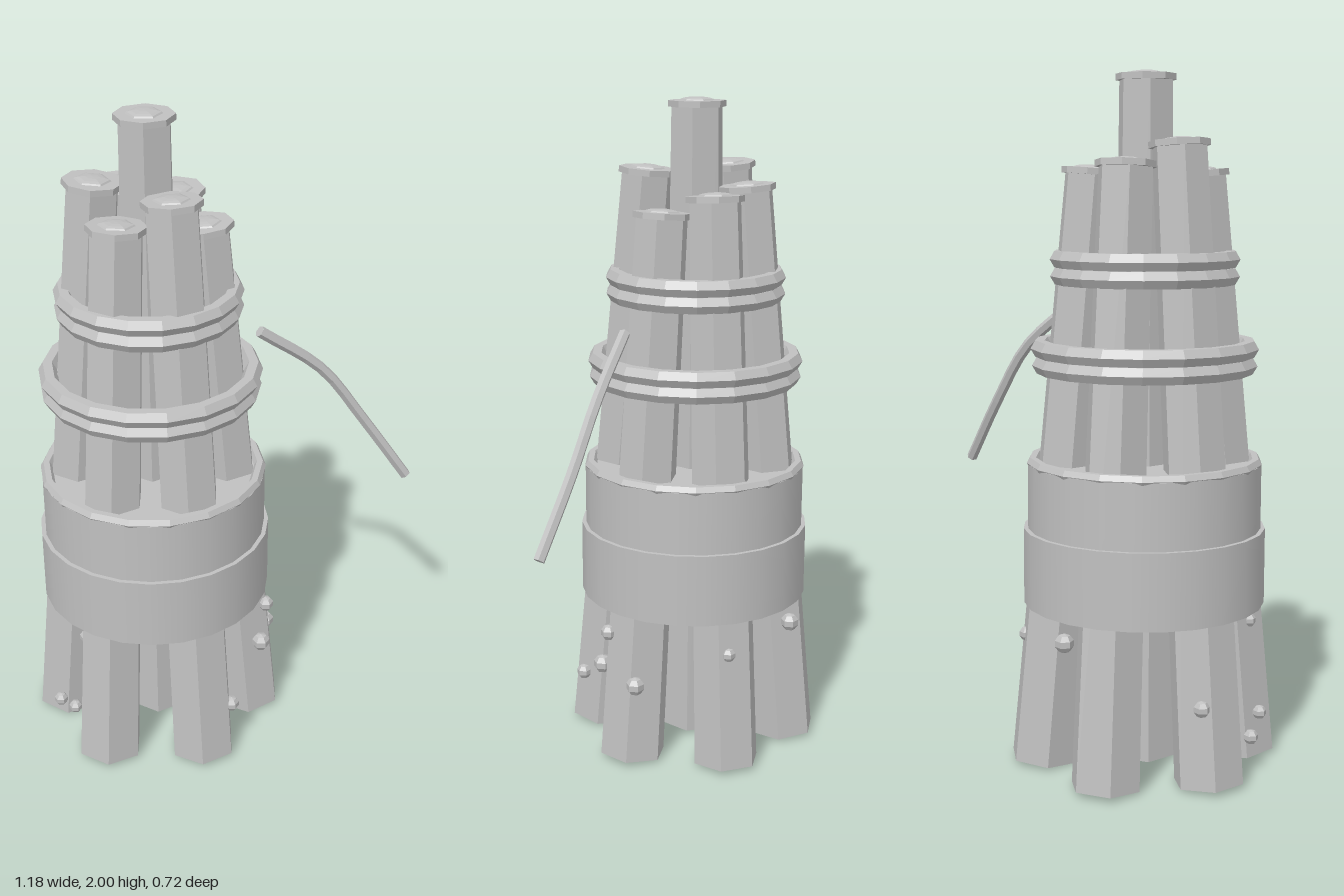
import * as THREE from 'three';

const AXIS_X = -0.207;

export function createModel() {
  const model = new THREE.Group();
  const grey = new THREE.MeshStandardMaterial({ color: 0xc0c0c0 });
  grey.name = 'plain grey';

  // Faceted parts keep one normal per face
  const add = (parent, name, geometry, x = 0, y = 0, z = 0, flat = true) => {
    let geo = geometry;
    if (flat) {
      geo = geometry.index ? geometry.toNonIndexed() : geometry;
      geo.computeVertexNormals();
    }
    const mesh = new THREE.Mesh(geo, grey);
    mesh.name = name;
    mesh.position.set(x, y, z);
    parent.add(mesh);
    return mesh;
  };

  const bundle = new THREE.Group();
  bundle.name = 'bundle';
  bundle.position.x = AXIS_X;
  model.add(bundle);

  // One tapered hexagonal stick with a lid and a low bump on top
  const stick = (name, angle, spread, top) => {
    const lean = spread ? 0.083 : 0;
    const g = new THREE.Group();
    g.name = name;
    g.position.set(Math.cos(angle) * spread, spread ? 0.009 : 0.012, Math.sin(angle) * spread);
    const dir = new THREE.Vector3(-Math.cos(angle) * lean, 1, -Math.sin(angle) * lean).normalize();
    g.quaternion.setFromUnitVectors(new THREE.Vector3(0, 1, 0), dir);
    const len = top - 0.01;
    add(g, 'stickShaft', new THREE.CylinderGeometry(0.08, 0.103, len - 0.015, 6), 0, (len - 0.015) / 2, 0);
    add(g, 'stickLid', new THREE.CylinderGeometry(0.086, 0.086, 0.018, 8), 0, len - 0.009, 0);
    const bump = new THREE.SphereGeometry(0.052, 6, 4, 0, Math.PI * 2, 0, Math.PI / 2);
    bump.scale(1, 0.2, 1);
    add(g, 'lidBump', bump, 0, len, 0);
    bundle.add(g);
  };

  // Outer ring of leaning sticks around a tall upright one
  const tops = [1.685, 1.8, 1.73, 1.81, 1.755, 1.735];
  tops.forEach((top, i) => stick('outerStick', (i * Math.PI) / 3, 0.295, top));
  stick('centreStick', 0, 0, 1.988);

  // Solid bands around the waist, with a faceted rim
  add(bundle, 'lowerBand', new THREE.CylinderGeometry(0.352, 0.352, 0.22, 24), 0, 0.59, 0, false);
  add(bundle, 'upperBand', new THREE.CylinderGeometry(0.339, 0.339, 0.19, 24), 0, 0.795, 0, false);

  const ring = (name, outer, tube, y) => {
    const geo = new THREE.TorusGeometry(outer - tube, tube, 6, 18);
    geo.rotateX(Math.PI / 2);
    add(bundle, name, geo, 0, y, 0);
  };
  ring('bandRim', 0.342, 0.018, 0.892);
  ring('upperBinding', 0.273, 0.027, 1.475);
  ring('upperBinding', 0.272, 0.027, 1.427);
  ring('lowerBinding', 0.329, 0.027, 1.222);
  ring('lowerBinding', 0.325, 0.027, 1.174);

  // Drooping cord at the side, closed at both ends
  const path = new THREE.CatmullRomCurve3([
    new THREE.Vector3(0.11, 1.345, 0.005),
    new THREE.Vector3(0.3, 1.19, -0.058),
    new THREE.Vector3(0.43, 1.01, -0.083),
    new THREE.Vector3(0.575, 0.8, -0.094),
  ]);
  add(model, 'cord', new THREE.TubeGeometry(path, 12, 0.017, 6, false));
  for (const t of [0, 1]) {
    const p = path.getPointAt(t);
    const end = add(model, 'cordEnd', new THREE.CircleGeometry(0.017, 6), p.x, p.y, p.z);
    const out = path.getTangentAt(t).multiplyScalar(t ? 1 : -1);
    end.quaternion.setFromUnitVectors(new THREE.Vector3(0, 0, 1), out);
  }

  // Small beads scattered over the lower sticks: x, y, z, radius
  const beads = [
    [0.14, 0.41, 0.05, 0.025], [0.125, 0.29, 0.09, 0.029],
    [0.143, 0.265, -0.06, 0.029], [0.03, 0.18, 0.26, 0.024],
    [-0.515, 0.11, 0.15, 0.022], [-0.46, 0.15, 0.235, 0.021],
    [-0.415, 0.42, 0.23, 0.021], [-0.02, 0.38, -0.29, 0.022],
    [-0.27, 0.42, -0.335, 0.028], [-0.55, 0.25, -0.07, 0.024],
  ];
  for (const [x, y, z, r] of beads) {
    add(model, 'bead', new THREE.SphereGeometry(r, 6, 5), x, y, z);
  }
  return model;
}
